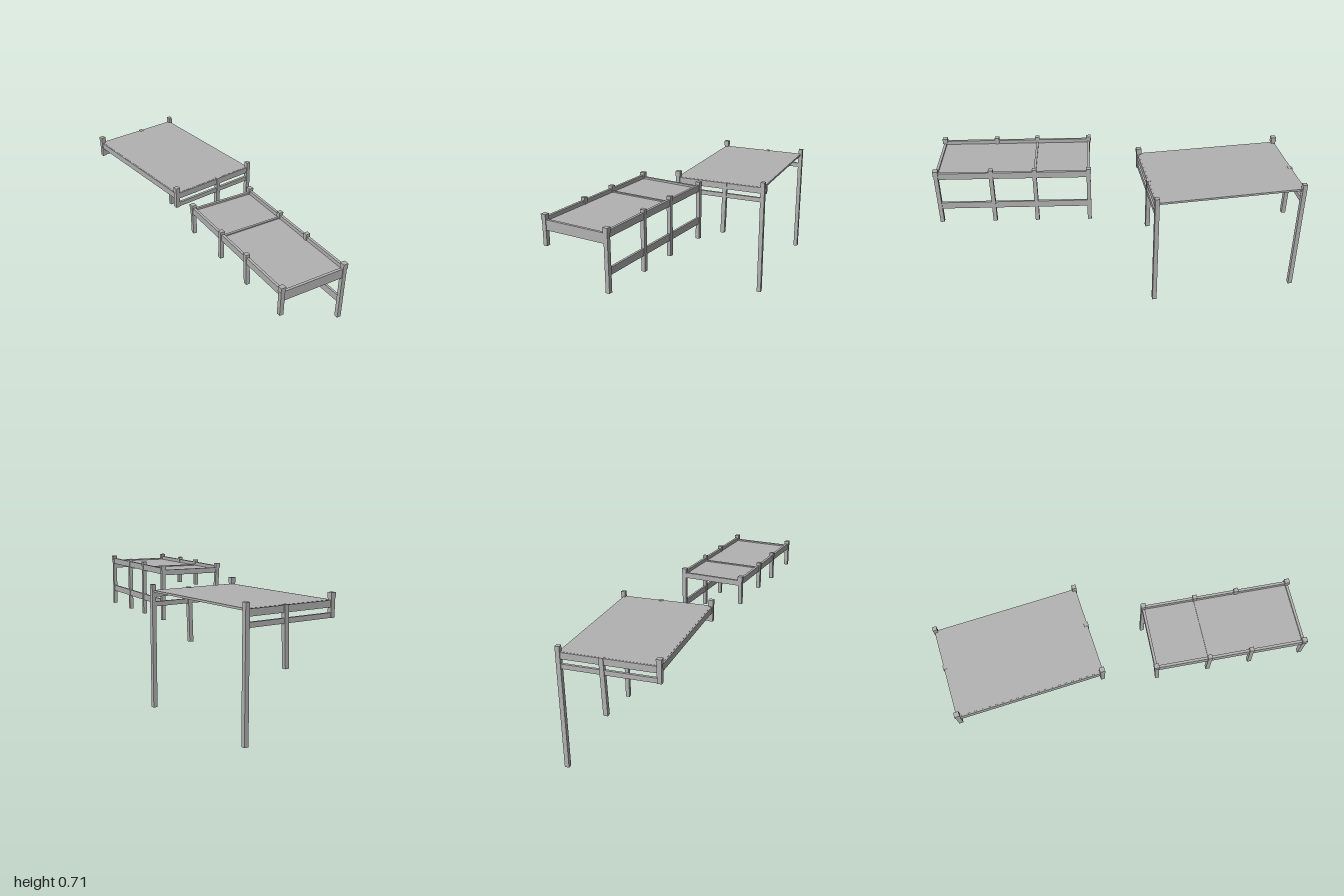
import * as THREE from 'three';

export function createModel() {
  const model = new THREE.Group();
  const grey = new THREE.MeshStandardMaterial({ color: 0xb2b2b2 });
  grey.name = 'grey timber';

  const add = (group, name, geometry) => {
    const mesh = new THREE.Mesh(geometry, grey);
    mesh.name = name;
    group.add(mesh);
    return mesh;
  };

  // Square post at plan point p; lean shifts the foot sideways
  const post = (group, name, p, y0, y1, size, yaw, lean = [0, 0]) => {
    const h = y1 - y0;
    const g = new THREE.BoxGeometry(size, h, size).rotateY(yaw).translate(p[0], (y0 + y1) / 2, p[1]);
    const v = g.attributes.position;
    for (let i = 0; i < v.count; i++) {
      if (v.getY(i) < (y0 + y1) / 2) v.setXYZ(i, v.getX(i) + lean[0], v.getY(i), v.getZ(i) + lean[1]);
    }
    g.computeVertexNormals();
    return add(group, name, g);
  };

  // Horizontal beam between two plan points
  const beam = (group, name, a, b, y0, y1, width) => {
    const dx = b[0] - a[0], dz = b[1] - a[1];
    const m = add(group, name, new THREE.BoxGeometry(Math.hypot(dx, dz), y1 - y0, width));
    m.position.set((a[0] + b[0]) / 2, (y0 + y1) / 2, (a[1] + b[1]) / 2);
    m.rotation.y = -Math.atan2(dz, dx);
    return m;
  };

  // Flat slab through four plan corners
  const slab = (group, name, corners, y0, y1) => {
    const shape = new THREE.Shape(corners.map(([x, z]) => new THREE.Vector2(x, -z)));
    const g = new THREE.ExtrudeGeometry(shape, { depth: y1 - y0, bevelEnabled: false });
    return add(group, name, g.rotateX(-Math.PI / 2).translate(0, y0, 0));
  };

  const lerp = (a, b, t) => [a[0] + (b[0] - a[0]) * t, a[1] + (b[1] - a[1]) * t];

  // ---- Rear platform: tall posts on its left, short hangers on its right
  const rear = new THREE.Group();
  rear.name = 'rearPlatform';
  model.add(rear);
  const yawA = Math.atan2(0.286, 0.728);
  const tall = [[0.058, -0.982], [0.345, -0.256]];
  const short = [[-0.412, -0.803], [-0.128, -0.073]];
  slab(rear, 'rearDeck', [short[0], short[1], tall[1], tall[0]], 0.614, 0.625);
  const mids = [];
  for (let i = 0; i < 2; i++) {
    const mid = lerp(short[i], tall[i], 0.565);
    mids.push(mid);
    post(rear, 'tallPost', tall[i], 0, 0.655, 0.023, yawA);
    post(rear, 'hangerPost', short[i], 0.54, 0.635, 0.023, yawA);
    post(rear, 'hangerCap', short[i], 0.632, 0.661, 0.027, yawA);
    post(rear, 'middlePost', mid, 0.33, 0.627, 0.023, yawA, [-0.009, 0.003]);
    beam(rear, 'endRail', short[i], tall[i], 0.59, 0.624, 0.014);
    beam(rear, 'lowerEndRail', short[i], tall[i], 0.54, 0.565, 0.014);
  }
  beam(rear, 'sideRail', short[0], short[1], 0.59, 0.624, 0.014);
  beam(rear, 'centreJoist', mids[0], mids[1], 0.6, 0.624, 0.014);

  // ---- Front platform: four posts along each side
  const front = new THREE.Group();
  front.name = 'frontPlatform';
  model.add(front);
  const yawB = Math.atan2(0.19, 0.775);
  const left = [[0.225, 0.127], [0.291, 0.4], [0.344, 0.62], [0.412, 0.895]];
  const right = [[-0.113, 0.21], [-0.047, 0.486], [0.007, 0.703], [0.075, 0.98]];
  slab(front, 'frontDeck', [right[0], right[3], left[3], left[0]], 0.67, 0.68);
  for (let i = 0; i < 4; i++) {
    const corner = i === 0 || i === 3;
    const cap = corner ? 0.026 : 0.023;
    post(front, 'leftPost', left[i], 0.402, 0.69, 0.021, yawB);
    post(front, 'leftCap', left[i], 0.688, 0.715, cap, yawB);
    const lean = i % 2 ? [0, 0] : [0.004, 0.008];
    post(front, 'rightPost', right[i], i % 2 ? 0.56 : 0.55, 0.69, 0.021, yawB, lean);
    post(front, 'rightCap', right[i], 0.688, 0.715, cap, yawB);
  }
  beam(front, 'leftRail', left[0], left[3], 0.665, 0.7, 0.014);
  beam(front, 'lowerLeftRail', left[0], left[3], 0.485, 0.521, 0.012);
  beam(front, 'rightRail', right[0], right[3], 0.665, 0.7, 0.014);
  beam(front, 'backRail', right[0], left[0], 0.66, 0.69, 0.014);
  beam(front, 'frontRail', right[3], left[3], 0.637, 0.688, 0.014);
  beam(front, 'raisedJoist', right[1], left[1], 0.655, 0.686, 0.012);
  beam(front, 'joist', right[2], left[2], 0.655, 0.679, 0.012);

  return model;
}
